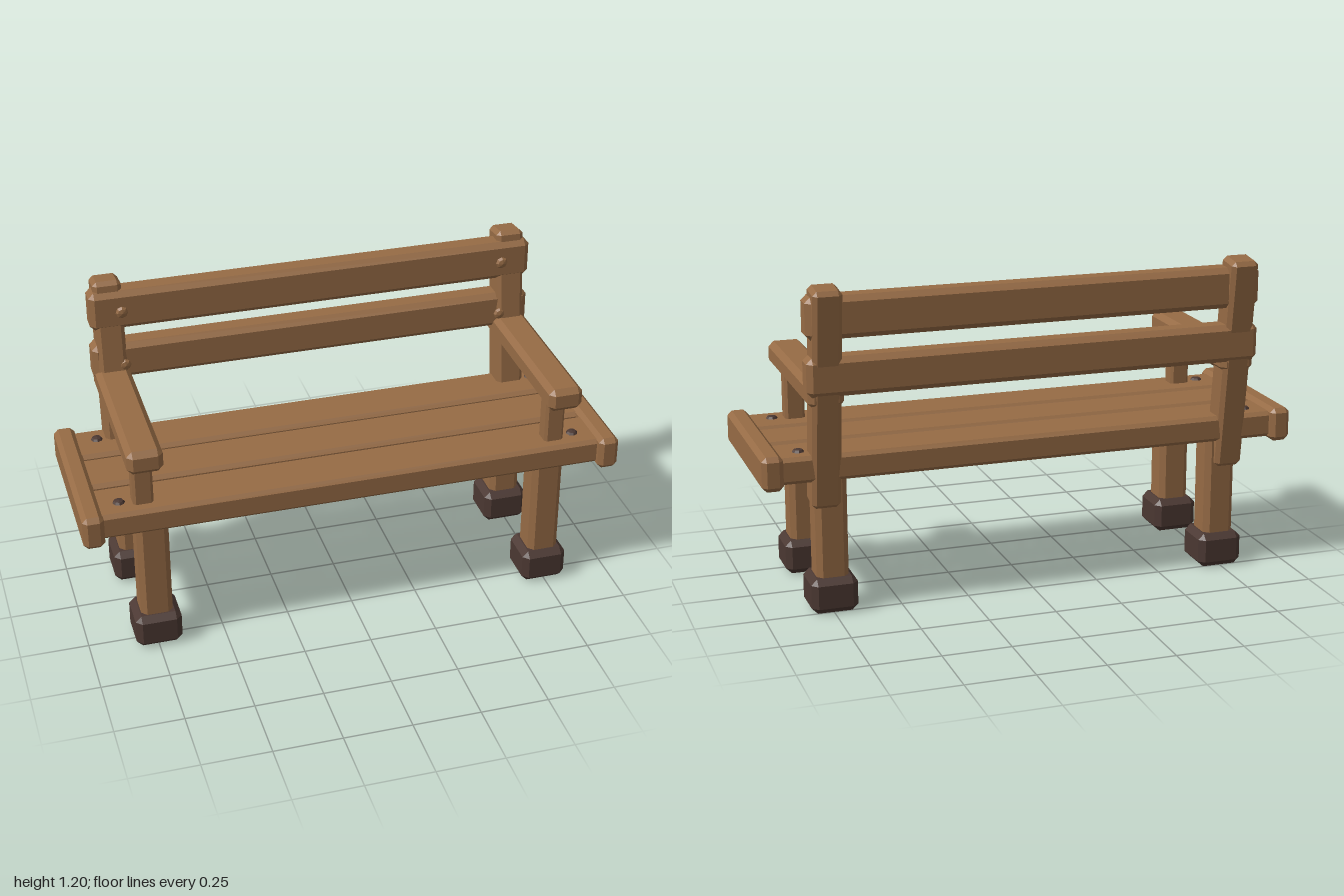
import * as THREE from 'three';
import { ConvexGeometry } from 'three/addons/geometries/ConvexGeometry.js';

const wood = new THREE.MeshStandardMaterial({ color: 0x966b45, flatShading: true });
wood.name = 'brown wood';
const dark = new THREE.MeshStandardMaterial({ color: 0x4b3832, flatShading: true });
dark.name = 'dark iron';

// Box with every edge bevelled by c
function bevelBox(w, h, d, c) {
  const pts = [];
  for (const sx of [-1, 1]) for (const sy of [-1, 1]) for (const sz of [-1, 1]) {
    const x = w / 2, y = h / 2, z = d / 2;
    pts.push(
      new THREE.Vector3(sx * x, sy * (y - c), sz * (z - c)),
      new THREE.Vector3(sx * (x - c), sy * y, sz * (z - c)),
      new THREE.Vector3(sx * (x - c), sy * (y - c), sz * z));
  }
  return new ConvexGeometry(pts);
}

export function createModel() {
  const bench = new THREE.Group();
  bench.name = 'bench';

  const add = (name, geometry, material, x, y, z) => {
    const mesh = new THREE.Mesh(geometry, material);
    mesh.name = name;
    mesh.position.set(x, y, z);
    bench.add(mesh);
    return mesh;
  };
  // Bevelled beam from its extents along each axis
  const beam = (name, material, [x0, x1], [y0, y1], [z0, z1], c) =>
    add(name, bevelBox(x1 - x0, y1 - y0, z1 - z0, c), material,
      (x0 + x1) / 2, (y0 + y1) / 2, (z0 + z1) / 2);

  // Seat slats
  for (const [z0, z1] of [[-0.275, -0.09], [-0.075, 0.115], [0.13, 0.32]])
    beam('seatSlat', wood, [-0.95, 0.95], [0.497, 0.594], [z0, z1], 0.014);

  // Back rails
  beam('upperBackRail', wood, [-0.84, 0.84], [1.015, 1.165], [-0.332, -0.236], 0.02);
  beam('lowerBackRail', wood, [-0.84, 0.84], [0.813, 0.953], [-0.332, -0.236], 0.02);

  const boltGeo = new THREE.SphereGeometry(0.023, 8, 4);

  for (const [side, s] of [['left', 1], ['right', -1]]) {
    const span = (a, b) => (s > 0 ? [a, b] : [-b, -a]);

    // Seat end board
    beam(side + 'SeatEnd', wood, span(0.923, 1), [0.483, 0.609], [-0.3, 0.352], 0.017);

    // Legs with dark feet
    for (const [place, z] of [['Front', 0.24], ['Back', -0.186]]) {
      beam(side + place + 'Leg', wood, span(0.688, 0.805), [0.06, 0.52], [z - 0.059, z + 0.059], 0.02);
      beam(side + place + 'Foot', dark, span(0.661, 0.831), [0, 0.13], [z - 0.085, z + 0.085], 0.022);
    }

    // Leaning back post
    const post = add(side + 'BackPost', bevelBox(0.104, 0.803, 0.107, 0.015), wood, s * 0.768, 0.797, -0.262);
    post.rotation.x = -0.125;

    // Armrest and its support
    beam(side + 'Armrest', wood, span(0.706, 0.834), [0.77, 0.859], [-0.315, 0.368], 0.02);
    beam(side + 'ArmSupport', wood, span(0.733, 0.807), [0.57, 0.79], [0.207, 0.275], 0.01);

    // Rail pegs
    for (const y of [1.091, 0.876]) {
      const peg = add(side + 'RailPeg', boltGeo, wood, s * 0.725, y, -0.227);
      peg.rotation.x = Math.PI / 2;
      peg.scale.y = 0.62;
    }
    // Seat bolts
    for (const z of [-0.2, 0.24])
      add(side + 'SeatBolt', boltGeo, dark, s * 0.853, 0.593, z).scale.y = 0.55;
  }
  return bench;
}
